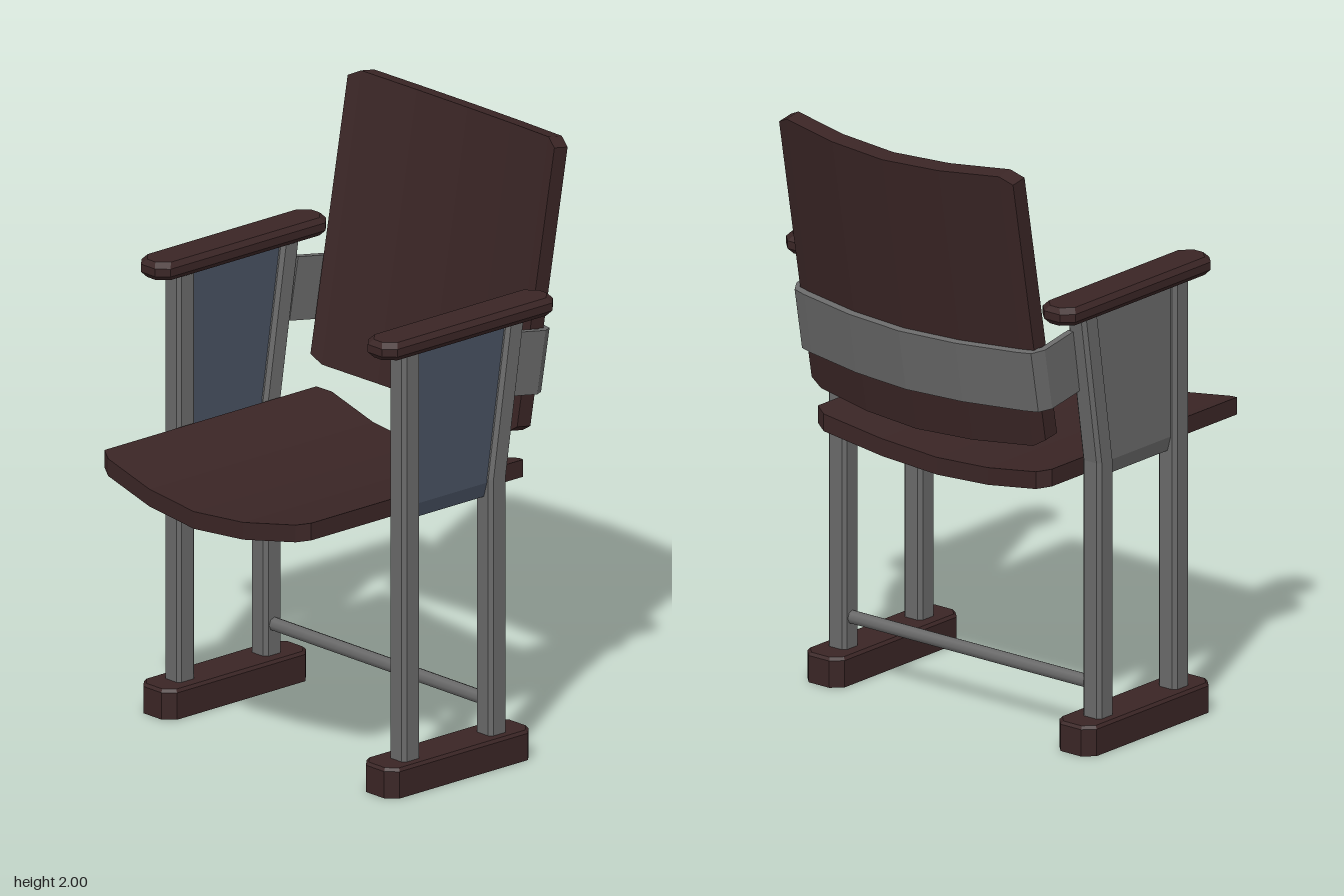
import * as THREE from 'three';

const mat = (name, color, extra = {}) => {
  const m = new THREE.MeshStandardMaterial({ color, ...extra });
  m.name = name;
  return m;
};

// Closed solid through a list of rings, flat faceted, always facing outward
function loft(rings) {
  const n = rings[0].length, pos = rings.flat(2), idx = [];
  for (let i = 0; i < rings.length - 1; i++) {
    for (let j = 0; j < n; j++) {
      const a = i * n + j, b = i * n + (j + 1) % n;
      idx.push(a, b, b + n, a, b + n, a + n);
    }
  }
  const last = (rings.length - 1) * n;
  for (let j = 1; j < n - 1; j++) {
    idx.push(0, j + 1, j, last, last + j, last + j + 1);
  }
  // flip the faces when the enclosed volume is negative
  const p = k => new THREE.Vector3().fromArray(pos, k * 3);
  let volume = 0;
  for (let i = 0; i < idx.length; i += 3) {
    volume += p(idx[i]).dot(p(idx[i + 1]).cross(p(idx[i + 2])));
  }
  if (volume < 0) idx.reverse();
  const indexed = new THREE.BufferGeometry();
  indexed.setAttribute('position', new THREE.Float32BufferAttribute(pos, 3));
  indexed.setIndex(idx);
  const g = indexed.toNonIndexed();
  g.computeVertexNormals();
  return g;
}

// Rectangle with cut corners, lying flat at height y
function octagon(x, y, z, hx, hz, cut) {
  return [
    [hx, hz - cut], [hx - cut, hz], [cut - hx, hz], [-hx, hz - cut],
    [-hx, cut - hz], [cut - hx, -hz], [hx - cut, -hz], [hx, cut - hz],
  ].map(([dx, dz]) => [x + dx, y, z + dz]);
}

// Mirror a half profile that starts at the centre line (x is the first entry)
const mirrored = half => [
  ...half.slice(1).reverse().map(([x, ...r]) => [-x, ...r]), ...half,
];

// Curved wooden shell in the xy plane, hollow side facing +z
function shell(u0, u1, shift) {
  const stations = mirrored([
    // x, forward curl, share of the end shift, corner cut
    [0, 0, 0, 0], [0.22, 0.017, 0.3, 0], [0.44, 0.058, 1, 0], [0.485, 0.07, 1, 0.025],
  ]);
  return loft(stations.map(([x, n, s, c]) => {
    const a = u0 + shift * s + c, b = u1 + shift * s - c;
    return [[x, a, n], [x, b, n], [x, b, n - 0.058], [x, a, n - 0.058]];
  }));
}

export function createModel() {
  const wood = mat('dark wood', 0x3a2525);
  const steel = mat('grey steel', 0x696969);
  const blue = mat('slate blue', 0x475060);
  const model = new THREE.Group();
  model.name = 'chair';
  const add = (name, geometry, material, parent = model) => {
    const m = new THREE.Mesh(geometry, material);
    m.name = name;
    parent.add(m);
    return m;
  };

  // Seat
  const seat = add('seat', shell(-0.622, 0.345, 0.035), wood);
  seat.rotation.x = -Math.PI / 2;
  seat.position.y = 0.892;

  // Reclined backrest with its wrap-around support band
  const back = new THREE.Group();
  back.name = 'back';
  back.position.set(0, 1.026, -0.391);
  back.rotation.x = -0.177;
  model.add(back);
  add('backrest', shell(0, 0.965, 0.015), wood, back);
  const band = mirrored([
    // outer x, outer z, inner x, inner z
    [0, -0.082, 0, -0.056], [0.22, -0.065, 0.22, -0.04], [0.44, -0.024, 0.44, 0.001],
    [0.49, -0.01, 0.475, 0.012], [0.515, 0.03, 0.492, 0.04], [0.515, 0.175, 0.492, 0.175],
  ]);
  add('backBand', loft(band.map(([x, z, xi, zi]) => {
    const inner = Math.sign(x) * Math.abs(xi);
    return [[x, 0.152, z], [x, 0.362, z], [inner, 0.362, zi], [inner, 0.152, zi]];
  })), steel, back);

  for (const [side, s] of [['left', 1], ['right', -1]]) {
    const group = new THREE.Group();
    group.name = side + 'Side';
    model.add(group);
    const x = 0.528 * s;

    // Foot, hollow underneath
    const foot = (y, inset, cut) =>
      octagon(0.5225 * s, y, 0.0075, 0.0775 - inset, 0.3125 - inset, cut);
    add('foot', loft([
      foot(0.05, 0.045, 0.012), foot(0, 0.045, 0.012), foot(0, 0, 0.035),
      foot(0.09, 0, 0.035), foot(0.1, 0.008, 0.032),
    ]), wood, group);

    // Legs, the rear one bent backwards above the seat
    const leg = (name, path) => add(name, loft(
      path.map(([y, z]) => octagon(x, y, z, 0.038, 0.038, 0.012))), steel, group);
    leg('frontLeg', [[0.09, 0.197], [1.48, 0.197]]);
    leg('rearLeg', [[0.09, -0.178], [0.96, -0.178], [1.48, -0.257]]);

    // Armrest with bevelled edges
    const arm = (y, inset) => octagon(0.532 * s, y, -0.04, 0.068 - inset, 0.37 - inset, 0.035);
    add('armrest', loft([
      arm(1.47, 0.014), arm(1.487, 0), arm(1.513, 0), arm(1.53, 0.014),
    ]), wood, group);

    // Two-layer side panel with a tapered lower edge
    const panel = (name, dir, material) => add(name, loft(
      [[0.9, -0.145, 0.006], [0.95, -0.15, 0.02], [1.475, -0.23, 0.02]].map(([y, z, t]) => [
        [x, y, 0.165], [x + dir * t, y, 0.165], [x + dir * t, y, z], [x, y, z],
      ])), material, group);
    panel('sidePanelBlue', 1, blue);
    panel('sidePanelGrey', -1, steel);
  }

  // Cross bar between the rear legs
  const bar = add('crossBar', new THREE.CylinderGeometry(0.023, 0.023, 1.0, 8), steel);
  bar.rotation.z = Math.PI / 2;
  bar.position.set(0, 0.203, -0.178);

  return model;
}
